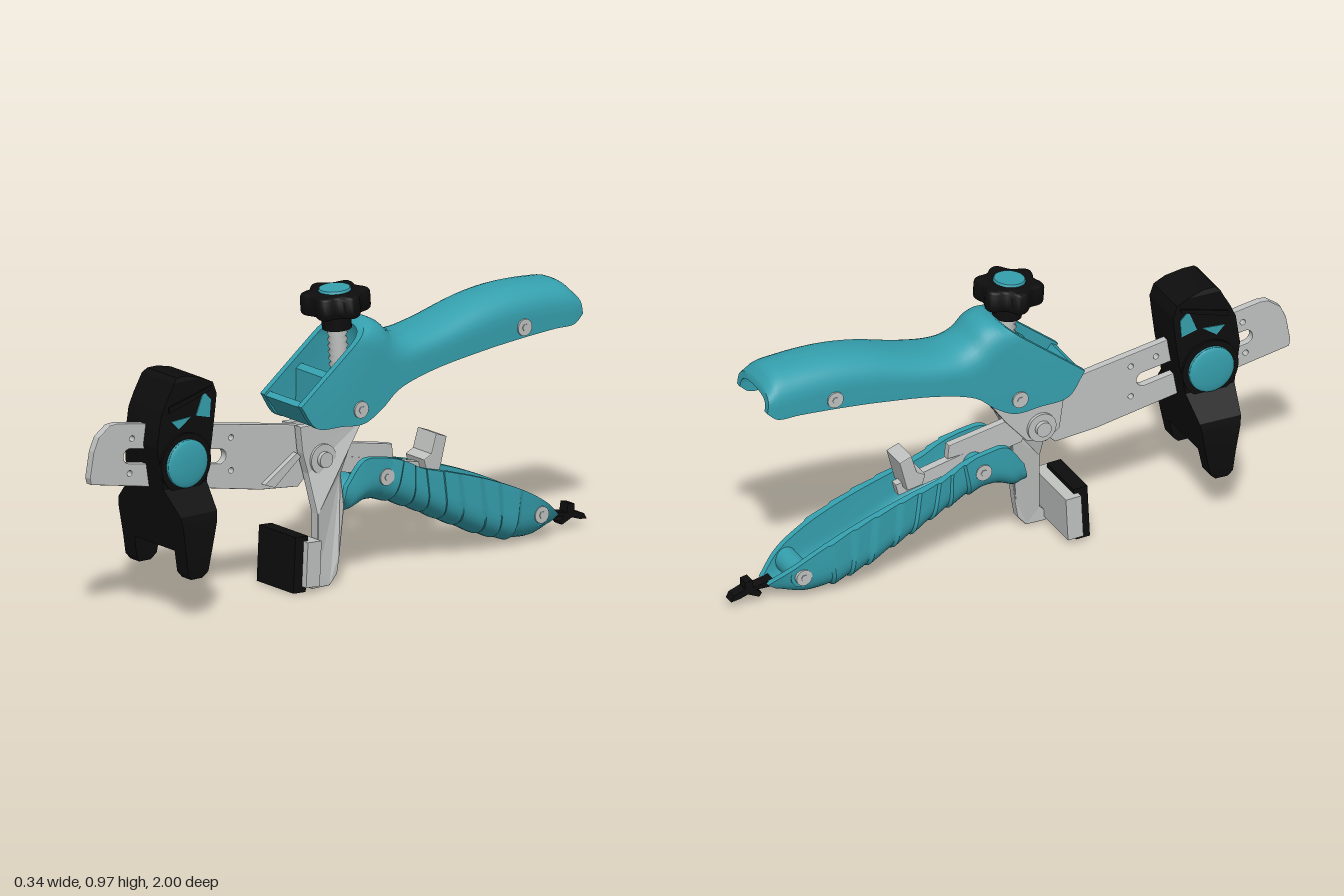
import * as THREE from 'three';
import { toCreasedNormals } from 'three/addons/utils/BufferGeometryUtils.js';

const paint = (name, color) => {
  const m = new THREE.MeshStandardMaterial({ color });
  m.name = name;
  return m;
};

export function createModel() {
  const model = new THREE.Group();
  model.name = 'clampTool';
  const teal = paint('teal', 0x35a0ae);
  const black = paint('black', 0x0d0d0d);
  const steel = paint('steel', 0xc0c3c1);

  const add = (name, geo, mat, x = 0, y = 0, z = 0, parent = model) => {
    const mesh = new THREE.Mesh(geo, mat);
    mesh.name = name;
    mesh.position.set(x, y, z);
    parent.add(mesh);
    return mesh;
  };

  // Plate from a side outline of [z, y] points, width along x
  const plate = (pts, width, cx = 0, bevel = 0, holes = []) => {
    const shape = new THREE.Shape(pts.map(p => new THREE.Vector2(...p)));
    shape.holes = holes;
    const depth = width - 2 * bevel;
    const geo = new THREE.ExtrudeGeometry(shape, {
      depth, bevelEnabled: bevel > 0, bevelThickness: bevel, bevelSize: bevel,
      bevelOffset: -bevel, bevelSegments: 2, curveSegments: 16,
    });
    return geo.translate(0, 0, -depth / 2).rotateY(-Math.PI / 2).translate(cx, 0, 0);
  };

  // Cylinder along x
  const pin = (r, len, seg = 24) => new THREE.CylinderGeometry(r, r, len, seg).rotateZ(Math.PI / 2);

  // Solid through closed rings; the two halves of each ring face each other
  const loft = (rings, crease = 0.7) => {
    const n = rings[0].length, last = (rings.length - 1) * n, idx = [];
    const quad = (a, b, c, d) => idx.push(a, b, c, a, c, d);
    for (let i = 0; i < last; i += n)
      for (let j = 0; j < n; j++) {
        const k = (j + 1) % n;
        quad(i + j, i + k, i + n + k, i + n + j);
      }
    for (let j = 0; j < n / 2 - 1; j++) {
      quad(j + 1, j, n - 1 - j, n - 2 - j);
      quad(last + j, last + j + 1, last + n - 2 - j, last + n - 1 - j);
    }
    const v = rings.flat().map(p => new THREE.Vector3(...p));
    let volume = 0;
    for (let i = 0; i < idx.length; i += 3)
      volume += v[idx[i]].dot(v[idx[i + 1]].clone().cross(v[idx[i + 2]]));
    if (volume < 0) idx.reverse();
    const geo = new THREE.BufferGeometry().setFromPoints(v);
    geo.setIndex(idx);
    return toCreasedNormals(geo, crease);
  };

  // U-shaped channel; station = [open z, open y, crown z, crown y, half width]
  const channel = (stations, steps, ripple = () => 0) => {
    const wall = 0.022, N = 18;
    const spline = f => new THREE.CatmullRomCurve3(stations.map(f));
    const open = spline(s => new THREE.Vector3(0, s[1], s[0]));
    const crown = spline(s => new THREE.Vector3(0, s[3], s[2]));
    const half = spline((s, i) => new THREE.Vector3(s[4], i, 0));
    const rings = [];
    for (let i = 0; i <= steps; i++) {
      const t = i / steps, o = open.getPoint(t), d = crown.getPoint(t).sub(o);
      const L = d.length();
      d.normalize();
      const arch = (a, len, r) => {
        const pts = [[a, o.y, o.z]];
        for (let k = 0; k <= N; k++) {
          const c = Math.cos(k * Math.PI / N), s = Math.max(0, Math.sin(k * Math.PI / N));
          const h = len - r + r * s ** 0.8;
          pts.push([a * Math.sign(c) * Math.abs(c) ** 0.8, o.y + d.y * h, o.z + d.z * h]);
        }
        pts.push([-a, o.y, o.z]);
        return pts;
      };
      const a = half.getPoint(t).x, r = Math.min(0.1, L * 0.7);
      const g = ripple(t);
      rings.push([...arch(a + g, L + g, r), ...arch(a - wall, L - wall, r - wall * 0.6).reverse()]);
    }
    return loft(rings);
  };

  // Recessed screw heads on both flanks with a cross boss between them
  const screws = (name, z, y, x, bossR) => {
    add(name + 'Boss', pin(bossR, 2 * x - 0.02), teal, 0, y, z);
    for (const s of [-1, 1]) {
      add(name, pin(0.028, 0.012), steel, s * x, y, z);
      add(name + 'Hub', pin(0.012, 0.018, 6), steel, s * x, y, z);
    }
  };

  // Upper handle, cut open on its sloping front
  add('upperHandle', channel([
    [0.22, 0.625, -0.07, 0.853, 0.11], [0.16, 0.545, -0.1, 0.856, 0.113],
    [0.06, 0.535, -0.135, 0.842, 0.115], [-0.03, 0.53, -0.175, 0.805, 0.115],
    [-0.1, 0.565, -0.22, 0.788, 0.115], [-0.17, 0.62, -0.28, 0.786, 0.115],
    [-0.3, 0.66, -0.37, 0.803, 0.115], [-0.5, 0.69, -0.53, 0.847, 0.115],
    [-0.65, 0.705, -0.66, 0.864, 0.115], [-0.8, 0.715, -0.8, 0.861, 0.115],
    [-0.88, 0.718, -0.87, 0.85, 0.115], [-0.915, 0.745, -0.905, 0.815, 0.112],
  ], 66), teal);
  add('handleTray', plate([[0.215, 0.62], [0.16, 0.547], [0.04, 0.54], [0.04, 0.56], [0.15, 0.57], [0.195, 0.632]], 0.2), teal);
  add('handleCrossWall', plate([[0.09, 0.555], [0.09, 0.69], [0.07, 0.705], [0.07, 0.555]], 0.2), teal);
  screws('upperFrontScrew', -0.015, 0.58, 0.115, 0.035);
  screws('upperRearScrew', -0.675, 0.742, 0.115, 0.035);

  // Lower handle, open upward, with stepped grip ridges
  add('lowerHandle', channel([
    [0.015, 0.32, 0.035, 0.24, 0.085], [-0.05, 0.398, 0, 0.225, 0.092],
    [-0.12, 0.396, -0.07, 0.247, 0.095], [-0.2, 0.375, -0.17, 0.235, 0.095],
    [-0.28, 0.335, -0.3, 0.18, 0.095], [-0.4, 0.3, -0.42, 0.12, 0.095],
    [-0.55, 0.25, -0.57, 0.05, 0.095], [-0.7, 0.185, -0.67, 0.02, 0.09],
    [-0.8, 0.125, -0.75, 0.014, 0.075], [-0.875, 0.065, -0.83, 0.035, 0.035],
  ], 108, t => (t > 0.28 && t < 0.76 ? 0.008 * (((t - 0.28) / 0.06) % 1) : 0)), teal);
  screws('lowerFrontScrew', -0.135, 0.33, 0.094, 0.035);
  screws('lowerRearScrew', -0.77, 0.092, 0.08, 0.04);

  // Hanging loop at the tail
  add('tailTab', plate([[-0.85, 0.075], [-0.92, 0.06], [-0.925, 0.09], [-0.95, 0.085], [-0.95, 0.06],
    [-0.99, 0.045], [-1, 0.025], [-0.97, 0.03], [-0.94, 0.04], [-0.9, 0.022], [-0.89, 0.035], [-0.91, 0.05], [-0.85, 0.05]], 0.04), black);

  // Slotted sliding bar
  const slot = new THREE.Path();
  slot.absarc(0.84, 0.548, 0.024, 0.17, Math.PI + 0.17 - Math.PI / 2, false);
  slot.absarc(0.475, 0.484, 0.024, Math.PI / 2 + 0.17, Math.PI * 1.5 + 0.17, false);
  slot.absarc(0.84, 0.548, 0.024, -Math.PI / 2 + 0.17, 0.17, false);
  const dots = [[0.83, 0.605], [0.52, 0.555], [0.43, 0.54], [0.43, 0.43], [0.84, 0.49]].map(([z, y]) => new THREE.Path().absarc(z, y, 0.009, 0, Math.PI * 2));
  add('bar', plate([[0.995, 0.478], [1, 0.5], [0.985, 0.585], [0.965, 0.63], [0.92, 0.663], [0.89, 0.665],
    [0.16, 0.537], [0.05, 0.46], [-0.22, 0.408], [-0.225, 0.36], [0.1, 0.385], [0.16, 0.33], [0.31, 0.345]],
  0.028, -0.001, 0.003, [slot, ...dots]), steel);
  add('barCatch', plate([[0.31, 0.365], [0.18, 0.45], [0.165, 0.435], [0.27, 0.35]], 0.02, 0.024), steel);

  // Fixed arm, bent outward below the pivot
  const arm = plate([[0.18, 0.54], [0.17, 0.45], [0.15, 0.38], [0.14, 0.25], [0.14, 0.06], [0.17, 0.03],
    [0.16, 0.005], [0.09, 0.005], [0.06, 0.04], [0.05, 0.1], [0.03, 0.26], [0.02, 0.36], [-0.03, 0.46], [-0.08, 0.53]], 0.034, 0.034, 0.004);
  const ap = arm.attributes.position;
  for (let i = 0; i < ap.count; i++)
    ap.setX(i, ap.getX(i) + 0.039 * (1 - THREE.MathUtils.smoothstep(ap.getY(i), 0.24, 0.4)));
  arm.computeVertexNormals();
  add('fixedArm', arm, steel);
  add('pivotPlate', plate([[0.18, 0.54], [0.16, 0.4], [0.11, 0.36], [0.04, 0.38], [-0.03, 0.46], [-0.08, 0.53]], 0.03, -0.034, 0.004), steel);
  add('pivot', pin(0.05, 0.12, 32), steel, 0, 0.42, 0.092);
  add('pivotCap', pin(0.026, 0.15), steel, 0, 0.42, 0.092);
  add('linkBar', plate([[0.06, 0.42], [0.04, 0.36], [-0.4, 0.27], [-0.41, 0.31]], 0.03), steel);
  add('releaseLever', plate([[-0.37, 0.425], [-0.413, 0.408], [-0.385, 0.3], [-0.33, 0.31], [-0.32, 0.345], [-0.35, 0.36]], 0.1, 0, 0.004), steel);

  // Fixed jaw pad with its backing
  add('padHolder', new THREE.BoxGeometry(0.24, 0.15, 0.055), steel, 0, 0.097, 0.178).rotation.x = -0.05;
  add('pad', new THREE.BoxGeometry(0.194, 0.186, 0.05), black, 0, 0.097, 0.214).rotation.x = -0.05;

  // Sliding jaw: tapered body and two legs, rows of [y, back z, front z, half width]
  const block = (rows, x = 0) => loft(rows.map(([y, b, f, w]) =>
    [[x - w, y, b], [x + w, y, b], [x + w, y, f], [x - w, y, f]]), 0.3);
  add('slidingJaw', block([
    [0.235, 0.625, 0.73, 0.168], [0.33, 0.608, 0.745, 0.172], [0.36, 0.603, 0.75, 0.165],
    [0.44, 0.588, 0.763, 0.09], [0.58, 0.563, 0.785, 0.086], [0.68, 0.55, 0.77, 0.086],
    [0.725, 0.545, 0.75, 0.086], [0.765, 0.56, 0.727, 0.086], [0.785, 0.6, 0.717, 0.085], [0.8, 0.66, 0.7, 0.078],
  ]), black);
  for (const s of [-1, 1]) {
    add('jawLeg', block([[0.145, 0.66, 0.705, 0.024], [0.165, 0.64, 0.72, 0.03], [0.236, 0.625, 0.73, 0.031]], s * 0.137), black);
    // Side frame, teal recess panels and round button
    add('buttonRing', pin(0.1, 0.02, 32), black, s * 0.086, 0.515, 0.675);
    add('buttonBase', pin(0.08, 0.03, 32), teal, s * 0.09, 0.515, 0.675);
    add('button', new THREE.SphereGeometry(0.08, 32, 16).scale(0.16, 1, 1), teal, s * 0.104, 0.515, 0.675);
    add('upperPanel', plate([[0.6, 0.74], [0.57, 0.71], [0.575, 0.65], [0.63, 0.665]], 0.004, s * 0.087), teal);
    add('sidePanel', plate([[0.73, 0.66], [0.65, 0.665], [0.7, 0.63]], 0.004, s * 0.087), teal);
    add('upperRib', plate([[0.74, 0.71], [0.57, 0.755], [0.575, 0.74], [0.74, 0.69]], 0.008, s * 0.088), black);
  }

  // Adjusting screw with star knob
  const knob = new THREE.Group();
  knob.name = 'adjustingScrew';
  knob.position.set(0, 0.92, 0);
  knob.rotation.x = 0.07;
  model.add(knob);
  const thread = [new THREE.Vector2(0, -0.37)];
  for (let i = 0; i <= 30; i++) thread.push(new THREE.Vector2(i % 2 ? 0.034 : 0.026, -0.37 + i * 0.0105));
  add('threadedRod', new THREE.LatheGeometry(thread, 20), steel, 0, 0, 0, knob);
  add('knobStem', new THREE.CylinderGeometry(0.05, 0.048, 0.06, 28), black, 0, -0.06, 0, knob);
  const star = new THREE.Shape();
  for (let i = 0; i < 72; i++) {
    const a = i * Math.PI / 36, r = 0.102 + 0.012 * Math.cos(6 * a);
    star[i ? 'lineTo' : 'moveTo'](r * Math.cos(a), r * Math.sin(a));
  }
  const starGeo = new THREE.ExtrudeGeometry(star, { depth: 0.044, bevelThickness: 0.016, bevelSize: 0.018, bevelOffset: -0.018, bevelSegments: 4 });
  add('knob', toCreasedNormals(starGeo.translate(0, 0, -0.022).rotateX(-Math.PI / 2), 0.8), black, 0, 0, 0, knob);
  add('knobCap', new THREE.CylinderGeometry(0.05, 0.055, 0.012, 32), teal, 0, 0.04, 0, knob);

  return model;
}
